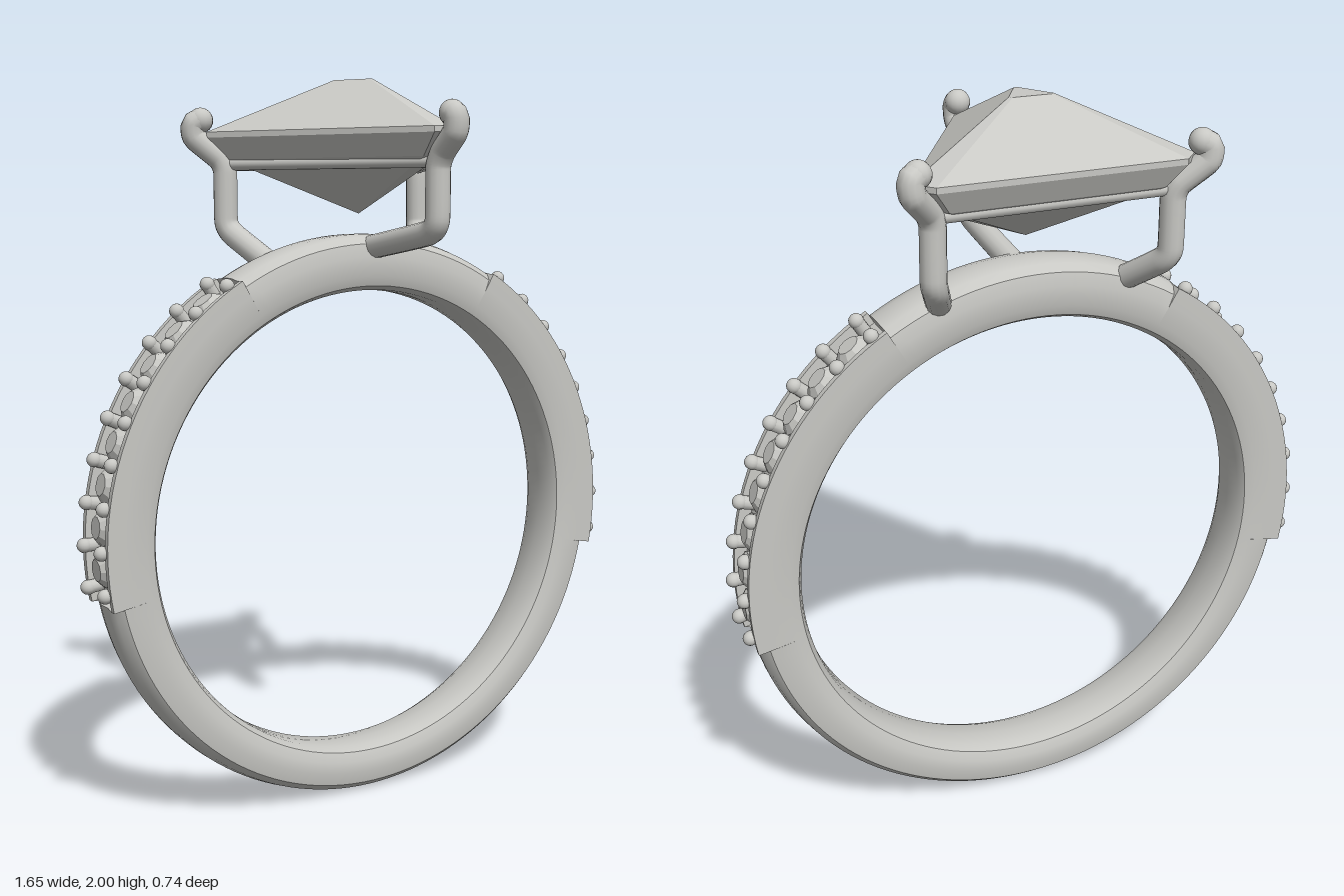
import * as THREE from 'three';
import { toCreasedNormals } from 'three/addons/utils/BufferGeometryUtils.js';

const CY = 0.782, CZ = -0.105; // ring centre
const rad = THREE.MathUtils.degToRad;

function indexed(pos, idx) {
  const g = new THREE.BufferGeometry();
  g.setAttribute('position', new THREE.Float32BufferAttribute(pos, 3));
  g.setIndex(idx);
  return g;
}

// Joins rings of equal point count; optionally closes the last ring to the first
function loft(rings, closed) {
  const n = rings[0].length, idx = [];
  for (let i = 0; i < rings.length - (closed ? 0 : 1); i++) {
    const p = i * n, q = ((i + 1) % rings.length) * n;
    for (let j = 0; j < n; j++) {
      const k = (j + 1) % n;
      idx.push(p + j, p + k, q + k, p + j, q + k, q + j);
    }
  }
  return indexed(rings.flat(2), idx);
}

// Band cross-sections as [z, radius] half profiles
const inner = [[0, 0.65], [0.05, 0.652], [0.072, 0.664], [0.082, 0.69]];
function plainProfile(a) {
  const R = 0.793 + 0.011 * Math.sin(a);
  return [...inner, [0.084, R - 0.06], [0.076, R - 0.025], [0.055, R - 0.007], [0.025, R], [0, R + 0.001]];
}
function channelProfile() {
  return [...inner, [0.084, 0.75], [0.084, 0.798], [0.066, 0.798], [0.064, 0.766], [0, 0.766]];
}
function bandRing(a, profile) {
  const half = profile(a);
  const mirror = half.slice(1, -1).reverse().map(([z, r]) => [-z, r]);
  return [...half, ...mirror].map(([z, r]) => [r * Math.cos(a), CY + r * Math.sin(a), CZ + z]);
}

function bandGeometry() {
  const rings = [];
  const arcs = [[-10.5, 59.5, channelProfile], [59.5, 120.5, plainProfile],
    [120.5, 190.5, channelProfile], [190.5, 349.5, plainProfile]];
  for (const [from, to, profile] of arcs) {
    const steps = Math.round((to - from) / 2.5);
    for (let i = 0; i <= steps; i++) rings.push(bandRing(rad(from + (to - from) * i / steps), profile));
  }
  return toCreasedNormals(loft(rings, true), 0.6);
}

// Triangular stone with clipped corners, as scaled outlines from culet to table
function gemGeometry() {
  const outline = [[-0.03, 0.305], [0.03, 0.305], [0.37, -0.29], [0.325, -0.34], [-0.325, -0.34], [-0.37, -0.29]];
  const layers = [[1.642, 0], [1.787, 0.87], [1.845, 1], [1.86, 1], [2, 0.16], [2, 0]];
  const rings = layers.map(([y, s]) => outline.map(([x, z]) => [x * s, y, CZ + (z - CZ) * s]));
  const g = loft(rings, false).toNonIndexed();
  g.computeVertexNormals();
  return g;
}

export function createModel() {
  const model = new THREE.Group();
  const metal = new THREE.MeshStandardMaterial({ color: 0xc8c8c4 });
  metal.name = 'pale grey';

  const add = (parent, name, geometry, x = 0, y = 0, z = 0) => {
    const m = new THREE.Mesh(geometry, metal);
    m.name = name;
    m.position.set(x, y, z);
    parent.add(m);
    return m;
  };
  const group = (name, parent = model) => {
    const g = new THREE.Group();
    g.name = name;
    parent.add(g);
    return g;
  };

  add(model, 'band', bandGeometry());
  add(model, 'centreStone', gemGeometry());

  // Small stones and beads set along both shoulders
  const stoneGeo = new THREE.CylinderGeometry(0.03, 0.05, 0.018, 10).toNonIndexed();
  stoneGeo.computeVertexNormals();
  const girdleGeo = new THREE.CylinderGeometry(0.05, 0.046, 0.014, 16);
  const beadGeo = new THREE.SphereGeometry(0.02, 14, 10);
  const stemGeo = new THREE.CylinderGeometry(0.018, 0.018, 0.045, 12, 1, true);
  for (const side of [1, -1]) {
    const shoulder = group(side > 0 ? 'leftShoulderStones' : 'rightShoulderStones');
    // Each setting is turned so its own y axis points away from the ring centre
    const setting = (name, deg) => {
      const s = group(name, shoulder);
      s.position.set(0, CY, CZ);
      s.rotation.z = -side * rad(90 - deg);
      return s;
    };
    for (let i = 0; i < 9; i++) {
      const beads = setting('beadPair', -7.4 + 8.05 * i);
      for (const z of [-0.058, 0.058]) {
        add(beads, 'bead', beadGeo, 0, 0.804, z);
        add(beads, 'beadStem', stemGeo, 0, 0.782, z);
      }
      if (i === 8) break;
      const stone = setting('smallStone', -3.4 + 8.05 * i);
      add(stone, 'smallStoneGirdle', girdleGeo, 0, 0.773, 0);
      add(stone, 'smallStoneCrown', stoneGeo, 0, 0.789, 0);
    }
  }

  // Prongs: bent wires with rounded tips
  const prong = (name, pts) => {
    const g = group(name);
    const v = pts.map((p) => new THREE.Vector3(...p));
    const curve = new THREE.CatmullRomCurve3(v, false, 'catmullrom', 0.25);
    add(g, 'prongWire', new THREE.TubeGeometry(curve, 72, 0.033, 14));
    const tip = v[v.length - 1];
    add(g, 'prongTip', new THREE.SphereGeometry(0.034, 16, 12), tip.x, tip.y, tip.z);
    add(g, 'prongFoot', new THREE.SphereGeometry(0.033, 16, 12), ...pts[0]);
  };
  prong('frontProng', [[0.01, 1.55, -0.06], [0.01, 1.592, 0.22], [0.01, 1.625, 0.262], [0.01, 1.76, 0.265],
    [0.012, 1.8, 0.285], [0.013, 1.845, 0.335], [0.013, 1.88, 0.34], [0.013, 1.892, 0.32]]);
  const backProng = (name, s, tx, tz) => prong(name, [[s * 0.25, 1.5, -0.14], [s * 0.305, 1.585, -0.265],
    [s * 0.317, 1.62, -0.285], [s * 0.317, 1.755, -0.287], [s * 0.33, 1.79, -0.295],
    [s * (tx - 0.005), 1.845, tz], [s * tx, 1.88, tz], [s * (tx - 0.02), 1.892, tz + 0.008]]);
  backProng('backLeftProng', 1, 0.385, -0.335);
  backProng('backRightProng', -1, 0.395, -0.322);

  // Gallery rails tying the prongs together under the stone
  const corners = [[0.01, 0.262], [0.317, -0.287], [-0.317, -0.287]].map(([x, z]) => new THREE.Vector3(x, 1.775, z));
  const rails = group('galleryRails');
  corners.forEach((a, i) => {
    const path = new THREE.LineCurve3(a, corners[(i + 1) % 3]);
    add(rails, 'galleryRail', new THREE.TubeGeometry(path, 1, 0.017, 12));
  });
  return model;
}
